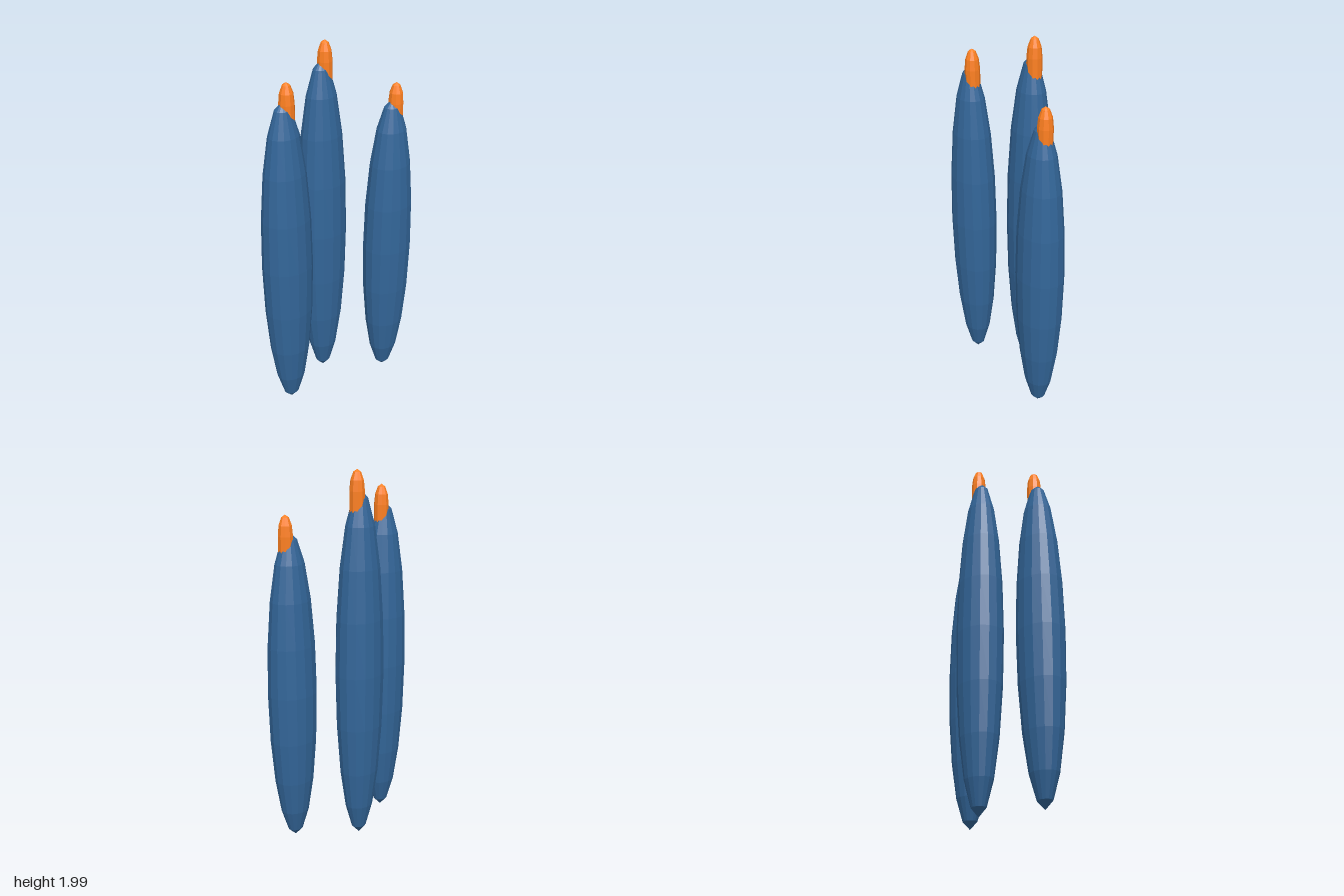
import * as THREE from 'three';

const blue = new THREE.MeshStandardMaterial({ color: 0x336699, flatShading: true });
const orange = new THREE.MeshStandardMaterial({ color: 0xff8020, flatShading: true });

// Stretched ellipsoid body, faceted
function makeBody(halfHeight) {
  const geometry = new THREE.SphereGeometry(1, 16, 10);
  geometry.scale(0.136, halfHeight, 0.115);
  const mesh = new THREE.Mesh(geometry, blue);
  mesh.name = 'body';
  return mesh;
}

// Straight-sided tip with a tall rounded end; its foot is sunk in the body
function makeTip() {
  const radius = 0.039, dome = 0.105, length = 0.26;
  const profile = [new THREE.Vector2(0, -length), new THREE.Vector2(radius, -length)];
  for (let i = 0; i <= 3; i++) {
    const a = (i / 3) * Math.PI / 2;
    profile.push(new THREE.Vector2(i === 3 ? 0 : radius * Math.cos(a), dome * (Math.sin(a) - 1)));
  }
  const mesh = new THREE.Mesh(new THREE.LatheGeometry(profile, 10), orange);
  mesh.name = 'tip';
  return mesh;
}

export function createModel() {
  const model = new THREE.Group();
  model.name = 'threeSpindles';
  // Position, bottom and top of each body, and top of its tip
  const spindles = [
    { name: 'middleSpindle', x: 0, z: -0.097, bottom: 0.008, top: 1.905, tipTop: 2.0 },
    { name: 'rightSpindle', x: -0.298, z: 0.052, bottom: 0.015, top: 1.805, tipTop: 1.893 },
    { name: 'leftSpindle', x: 0.296, z: 0.094, bottom: 0.02, top: 1.705, tipTop: 1.788 },
  ];
  for (const s of spindles) {
    const spindle = new THREE.Group();
    spindle.name = s.name;
    spindle.position.set(s.x, 0, s.z);
    const body = makeBody((s.top - s.bottom) / 2);
    body.position.y = (s.top + s.bottom) / 2;
    const tip = makeTip();
    tip.position.set(0.021, s.tipTop, 0);
    spindle.add(body, tip);
    model.add(spindle);
  }
  return model;
}
